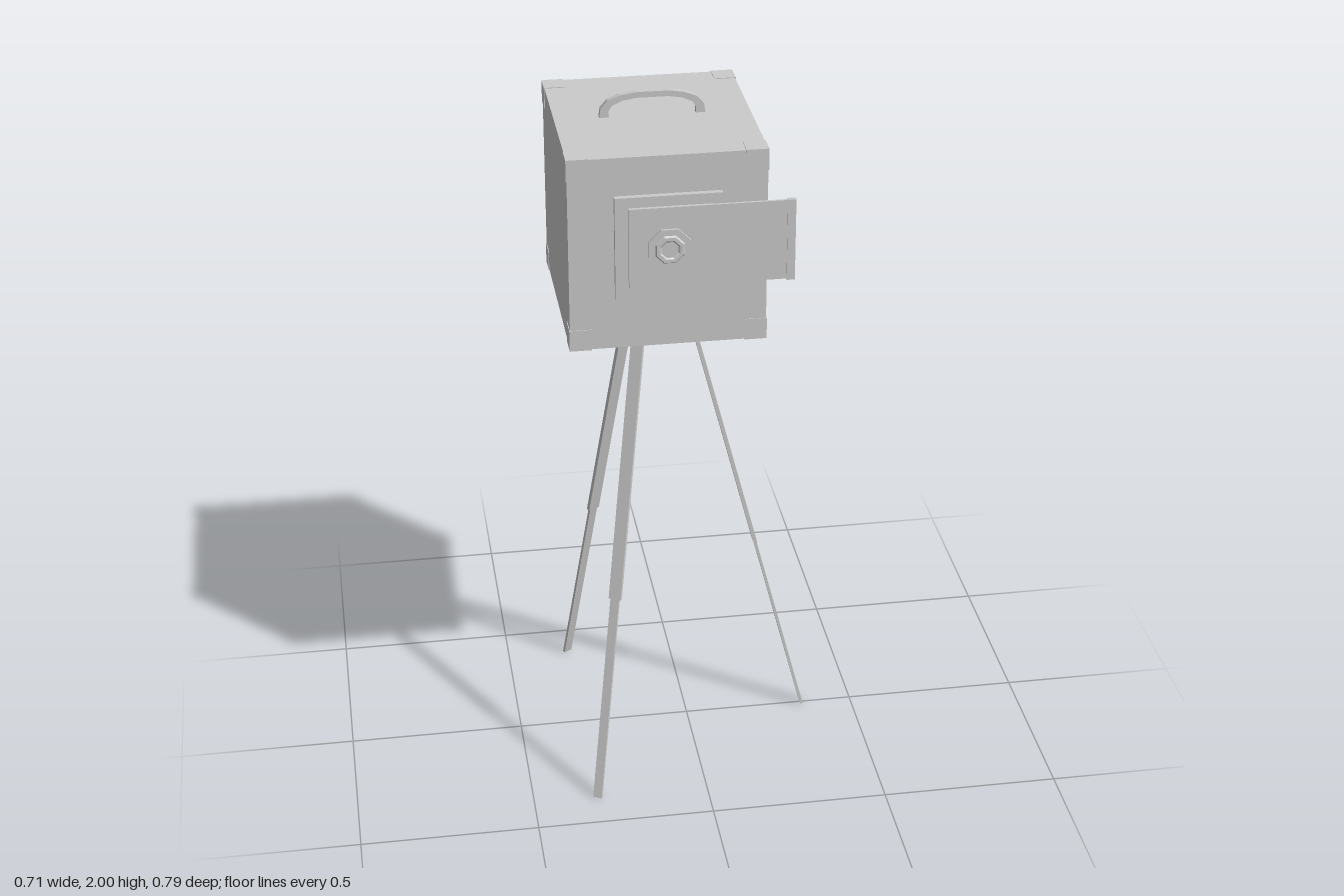
import * as THREE from 'three';

const mat = new THREE.MeshStandardMaterial({ color: 0xcccccc, flatShading: true });
const smooth = new THREE.MeshStandardMaterial({ color: 0xcccccc });
const CX = -0.093; // vertical axis of body and tripod

function add(parent, name, geometry, x = 0, y = 0, z = 0, material = mat) {
  const mesh = new THREE.Mesh(geometry, material);
  mesh.name = name;
  mesh.position.set(x, y, z);
  parent.add(mesh);
  return mesh;
}

// Box given by its minimum and maximum corners
function block(parent, name, [x0, y0, z0], [x1, y1, z1]) {
  return add(parent, name, new THREE.BoxGeometry(x1 - x0, y1 - y0, z1 - z0),
    (x0 + x1) / 2, (y0 + y1) / 2, (z0 + z1) / 2);
}

// Flat bar running between two points in the x-y plane, wide in z
function bar(parent, name, a, b, thickness, width) {
  const mesh = add(parent, name, new THREE.BoxGeometry(thickness, a.distanceTo(b), width),
    (a.x + b.x) / 2, (a.y + b.y) / 2, 0);
  mesh.rotation.z = Math.atan2(a.x - b.x, b.y - a.y);
  return mesh;
}

export function createModel() {
  const model = new THREE.Group();
  model.name = 'boxCameraOnTripod';

  // Body with slightly raised corner guards
  const body = new THREE.Group();
  body.name = 'body';
  model.add(body);
  const half = [0.263, 0.271, 0.285], cy = 1.662;
  add(body, 'case', new THREE.BoxGeometry(...half.map(h => h * 2)), CX, cy, 0);
  const guard = 0.06, raise = 0.002;
  for (const sx of [-1, 1]) for (const sy of [-1, 1]) for (const sz of [-1, 1]) {
    const offset = half.map(h => h + raise - guard / 2);
    add(body, 'cornerGuard', new THREE.BoxGeometry(guard, guard, guard),
      CX + sx * offset[0], cy + sy * offset[1], sz * offset[2]);
  }

  // Front plate, sliding shutter and its grip
  const front = new THREE.Group();
  front.name = 'frontAssembly';
  model.add(front);
  block(front, 'frontPlate', [-0.235, 1.535, 0.28], [0.049, 1.827, 0.301]);
  block(front, 'shutterBase', [-0.2, 1.573, 0.3], [0.02, 1.798, 0.311]);
  block(front, 'shutterSlide', [0.02, 1.573, 0.304], [0.225, 1.798, 0.311]);
  block(front, 'shutterGrip', [0.218, 1.57, 0.301], [0.24, 1.8, 0.314]);

  // Octagonal lens with stepped face
  const profile = [[0, 0], [0.06, 0], [0.06, 0.008], [0.042, 0.008], [0.038, 0.014], [0.028, 0.014], [0.024, 0.011], [0, 0.011]]
    .map(p => new THREE.Vector2(...p));
  const lens = add(front, 'lens', new THREE.LatheGeometry(profile, 8, Math.PI / 8), CX, 1.682, 0.31);
  lens.rotation.x = Math.PI / 2;

  // Carrying handle: a flat arched strap on two feet
  const outer = [[-0.143, 1.93], [-0.139, 1.958], [-0.12, 1.98], [-0.088, 1.993], [-0.045, 2]];
  const inner = [[-0.116, 1.93], [-0.118, 1.95], [-0.108, 1.965], [-0.08, 1.978], [-0.042, 1.984]];
  const mirror = pts => pts.map(([x, y]) => [-x, y]).reverse();
  const outline = [...outer, ...mirror(outer), ...inner, ...mirror(inner)];
  // inner edge runs back from the right foot to the left foot
  const loop = [...outline.slice(0, 10), ...outline.slice(10).reverse()];
  const strap = new THREE.Shape(loop.map(p => new THREE.Vector2(...p)));
  add(model, 'handle', new THREE.ExtrudeGeometry(strap, { depth: 0.016, bevelEnabled: false }), CX, 0, -0.009);

  // Tripod head
  const tripod = new THREE.Group();
  tripod.name = 'tripod';
  tripod.position.x = -0.095;
  model.add(tripod);
  const neckGeometry = new THREE.CylinderGeometry(0.083, 0.083, 0.06, 24, 1, true);
  add(tripod, 'neck', neckGeometry, 0, 1.362, 0, smooth);
  add(tripod, 'headPlate', new THREE.CylinderGeometry(0.112, 0.112, 0.02, 24), 0, 1.325, 0);

  // Three two-section legs
  const top = new THREE.Vector2(0.107, 1.322);
  const foot = new THREE.Vector2(0.445, 0.001);
  const joint = top.clone().lerp(foot, 0.558);
  for (let i = 0; i < 3; i++) {
    const leg = new THREE.Group();
    leg.name = 'leg';
    leg.rotation.y = i * Math.PI * 2 / 3;
    tripod.add(leg);
    bar(leg, 'upperLeg', joint, top, 0.011, 0.036);
    bar(leg, 'lowerLeg', foot, joint, 0.008, 0.026);
  }
  return model;
}
